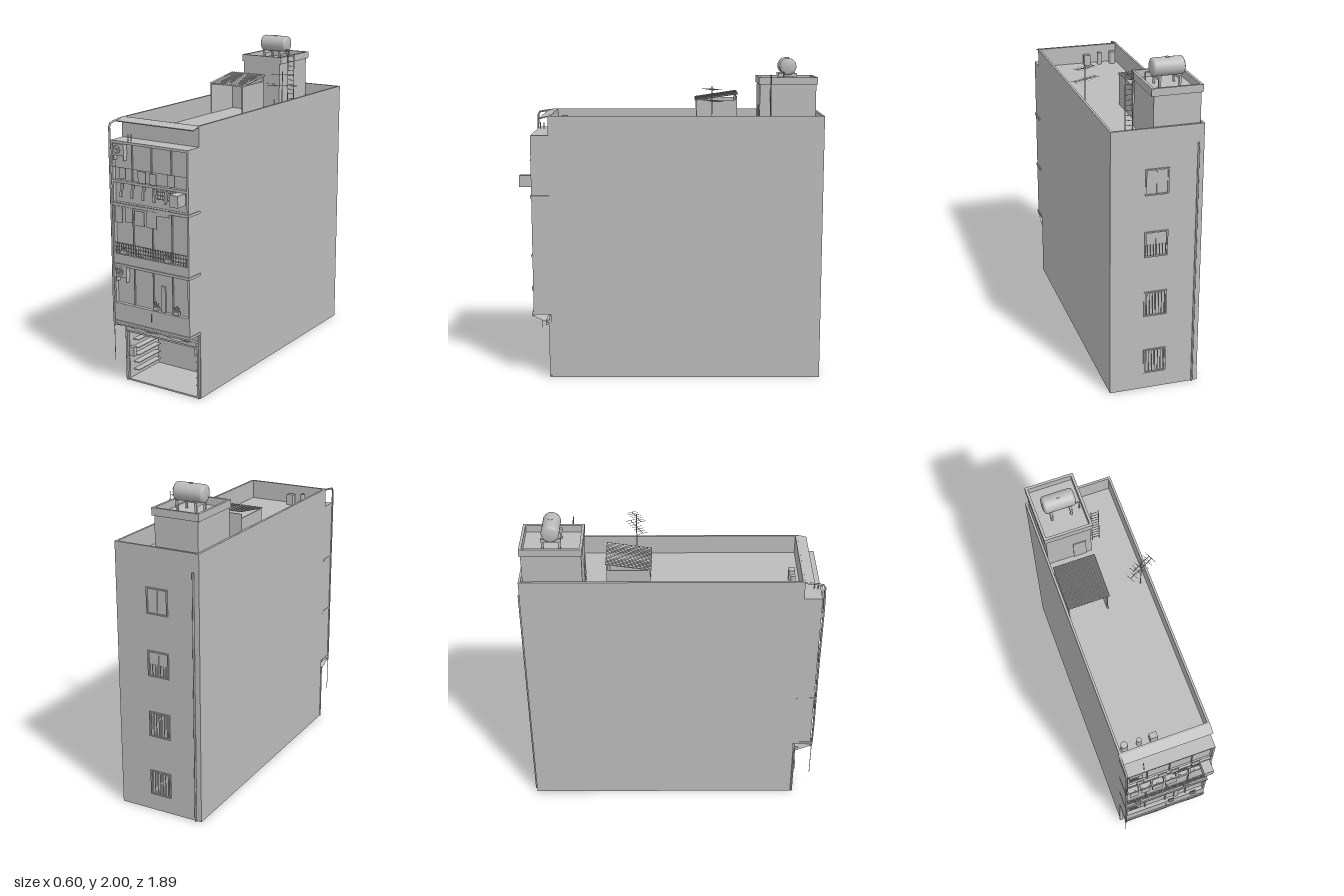
import * as THREE from 'three';

const concrete = new THREE.MeshStandardMaterial({ color: 0xbcbcbc, side: THREE.DoubleSide });
concrete.name = 'grey concrete';

export function createModel() {
  const model = new THREE.Group();
  model.name = 'building';

  const add = (name, geo, parent = model) => {
    const m = new THREE.Mesh(geo, concrete);
    m.name = name;
    parent.add(m);
    return m;
  };
  // box given by its low and high limits on each axis
  const box = (name, x0, x1, y0, y1, z0, z1, parent) => {
    const m = add(name, new THREE.BoxGeometry(x1 - x0, y1 - y0, z1 - z0), parent);
    m.position.set((x0 + x1) / 2, (y0 + y1) / 2, (z0 + z1) / 2);
    return m;
  };
  const rod = (name, a, b, r = 0.003, parent) => {
    const p = new THREE.Vector3(...a), q = new THREE.Vector3(...b), d = q.clone().sub(p);
    const m = add(name, new THREE.CylinderGeometry(r, r, d.length(), 8), parent);
    m.position.copy(p).add(q).multiplyScalar(0.5);
    m.quaternion.setFromUnitVectors(new THREE.Vector3(0, 1, 0), d.normalize());
    return m;
  };
  const group = (name, x = 0, y = 0, z = 0) => {
    const g = new THREE.Group();
    g.name = name;
    g.position.set(x, y, z);
    model.add(g);
    return g;
  };
  // four walls around an open rectangle
  const ring = (name, x0, x1, y0, y1, z0, z1, t) => {
    const g = group(name);
    box('wall', x0, x0 + t, y0, y1, z0, z1, g);
    box('wall', x1 - t, x1, y0, y1, z0, z1, g);
    box('wall', x0 + t, x1 - t, y0, y1, z0, z0 + t, g);
    box('wall', x0 + t, x1 - t, y0, y1, z1 - t, z1, g);
  };

  const L = -0.3, R = 0.25, B = -0.93, F = 0.765, BAY = 0.875;

  // main block with the shop hollowed out at the front
  box('mainBlock', L, R, 0, 1.54, B, 0.47);
  box('upperFrontBlock', L, R, 0.32, 1.54, 0.47, F);
  box('shopSideWall', L, L + 0.018, 0, 0.32, 0.47, F);
  box('shopSideWall', R - 0.018, R, 0, 0.32, 0.47, F);
  box('shopFloor', L, R, 0, 0.01, 0.47, F + 0.01);
  ring('parapet', L, R, 1.54, 1.66, B, F, 0.014);

  // shop fittings
  for (let i = 0; i < 5; i++) {
    const y = 0.055 + i * 0.05;
    box('shelf', L + 0.018, L + 0.06, y, y + 0.005, 0.5, 0.73);
    box('shelf', R - 0.06, R - 0.018, y, y + 0.005, 0.5, 0.73);
  }
  box('shopCabinet', 0.09, 0.18, 0.18, 0.32, 0.5, 0.6);
  box('meterBox', -0.27, -0.23, 0.17, 0.23, F, 0.79);
  box('shopSign', -0.29, 0.24, 0.32, 0.4, F, F + 0.012);
  for (const x of [L + 0.006, R - 0.012]) box('doorJamb', x - 0.006, x + 0.006, 0, 0.36, F, 0.78);
  box('shutterBox', -0.28, 0.24, 0.34, 0.37, F, 0.8);

  // projecting upper bay
  box('bayWall', L, R, 0.42, 1.54, F, 0.852);
  for (const [a, b] of [[L, L + 0.012], [R - 0.012, R]]) box('bayPier', a, b, 0.42, 1.54, 0.852, BAY);
  const bands = [[0.42, 0.54], [0.775, 0.85], [1.15, 1.17], [1.29, 1.305], [1.525, 1.54]];
  for (const [a, b] of bands) box('bayBand', L, R, a, b, 0.852, BAY);
  for (const y of [0.42, 0.785, 1.16]) box('floorLedge', L - 0.003, R + 0.005, y - 0.008, y + 0.008, F, 0.882);
  for (const x of [-0.16, -0.02, 0.12])
    for (const [y0, y1] of [[0.54, 0.775], [0.85, 1.15], [1.305, 1.525]])
      box('windowMullion', x - 0.003, x + 0.003, y0, y1, 0.852, 0.86);
  box('balconyDoor', 0.04, 0.068, 0.54, 0.7, 0.852, 0.862);

  // wavy awning under the bay
  const awning = new THREE.PlaneGeometry(R - L, 1, 32, 2);
  const ap = awning.attributes.position;
  for (let i = 0; i < ap.count; i++) {
    const x = ap.getX(i), t = ap.getY(i) + 0.5;
    ap.setXYZ(i, x + (L + R) / 2, 0.35 + t * 0.05 + t * 0.008 * Math.sin(x * 24), 0.77 + t * 0.115);
  }
  awning.computeVertexNormals();
  add('awning', awning);
  box('awningRail', L, R, 0.405, 0.414, 0.872, 0.885);
  rod('awningHook', [-0.02, 0.47, 0.885], [-0.02, 0.52, 0.885], 0.003);

  // eave along the top of the facade
  const eave = box('eave', L, R, -0.003, 0.003, -0.03, 0.03);
  eave.position.set((L + R) / 2, 1.65, 0.792);
  eave.rotation.x = 0.25;

  // railings
  const railing = (x0, x1, y0, y1, z) => {
    const g = group('railing');
    for (let i = 0; i <= 3; i++) {
      const y = y0 + (y1 - y0) * i / 3;
      box('rail', x0, x1, y - 0.0015, y + 0.0015, z - 0.002, z + 0.002, g);
    }
    const n = Math.round((x1 - x0) / 0.018);
    for (let i = 0; i <= n; i++) {
      const x = x0 + (x1 - x0) * i / n;
      box('baluster', x - 0.0012, x + 0.0012, y0, y1, z - 0.0015, z + 0.0015, g);
    }
  };
  railing(-0.295, 0.245, 0.85, 0.92, 0.873);
  railing(0.0, 0.245, 1.23, 1.295, 0.873);

  // air conditioners with round fan grilles
  for (const y of [1.49, 0.745]) {
    const g = group('airConditioner', -0.245, y, 0.87);
    box('case', -0.035, 0.045, -0.035, 0.035, -0.018, 0.014, g);
    add('fanRing', new THREE.TorusGeometry(0.024, 0.002, 6, 20), g).position.set(-0.005, 0, 0.016);
    for (let i = 0; i < 4; i++) {
      const a = i * Math.PI / 4, c = 0.024 * Math.cos(a), s = 0.024 * Math.sin(a);
      rod('fanSpoke', [-0.005 - c, -s, 0.015], [-0.005 + c, s, 0.015], 0.0015, g);
    }
    for (const x of [-0.03, 0.04]) box('bracket', x - 0.002, x + 0.002, -0.065, -0.03, -0.018, 0.012, g);
    rod('hose', [0.06, 0.09, -0.012], [0.06, 0.05, -0.012], 0.003, g);
  }

  // clothes on drying lines
  const cloths = [
    [-0.275, -0.22, 1.05, 1.15], [-0.2, -0.145, 1.06, 1.15], [-0.13, -0.06, 1.05, 1.14],
    [-0.045, 0.03, 1.05, 1.15], [0.03, 0.12, 1.13, 1.17], [-0.235, -0.19, 1.32, 1.385],
    [-0.1, -0.045, 1.31, 1.38], [-0.02, 0.03, 1.31, 1.375], [0.11, 0.16, 1.315, 1.385],
  ];
  for (const [a, b, c, d] of cloths) box('cloth', a, b, c, d, 0.878, 0.883);
  for (let i = 0; i < 5; i++) {
    const x = -0.22 + i * 0.08;
    box('hangingCloth', x - 0.007, x + 0.007, 1.21, 1.29, 0.878, 0.892).rotation.x = -0.12;
  }
  for (const y of [1.15, 1.385]) rod('dryingLine', [-0.29, y, 0.88], [0.24, y, 0.88], 0.0015);

  // planters and pots
  box('balconyUnit', 0.17, 0.23, 1.22, 1.29, BAY, 0.95);
  const pots = [[-0.22, 0.86], [0.1, 0.86], [0.015, 0.55], [0.165, 0.55]];
  for (const [x, y] of pots) {
    const g = group('planter', x, y, 0.88);
    box('pot', -0.018, 0.018, 0, 0.022, -0.01, 0.01, g);
    for (let i = -1; i <= 1; i++) rod('stem', [i * 0.008, 0.02, 0], [i * 0.016, 0.055 - 0.008 * Math.abs(i), 0], 0.004, g);
  }

  // drain pipes
  const drain = new THREE.CatmullRomCurve3([[1.655, 0.76], [1.645, 0.84], [1.635, 0.878], [1.58, 0.884],
    [1.0, 0.884], [0.42, 0.884], [0.39, 0.88]].map(([y, z]) => new THREE.Vector3(L, y, z)), false, 'centripetal');
  add('frontDrainPipe', new THREE.TubeGeometry(drain, 60, 0.006, 8));
  rod('hangingCable', [L, 0.4, 0.884], [L, 0.17, 0.884], 0.002);
  rod('lowerDrainPipe', [L, 0, 0.772], [L, 0.37, 0.772], 0.006);
  rod('roofSpout', [-0.18, 1.54, 0.835], [-0.18, 1.58, 0.835], 0.003);
  rod('backDrainPipe', [-0.265, 0, -0.937], [-0.265, 1.55, -0.937], 0.006);

  // back windows
  for (let i = 0; i < 4; i++) {
    const g = group('backWindow', -0.025, 0.185 + i * 0.385, B);
    for (const s of [-1, 1]) {
      box('frameSide', s * 0.066 - 0.004, s * 0.066 + 0.004, -0.08, 0.08, -0.007, 0, g);
      box('frameEnd', -0.07, 0.07, s * 0.076 - 0.004, s * 0.076 + 0.004, -0.007, 0, g);
    }
    box('mullion', -0.003, 0.003, -0.076, 0.076, -0.005, 0, g);
    if (i < 3) {
      const top = i === 2 ? 0 : 0.07;
      for (let k = -3; k <= 3; k++) box('bar', k * 0.018 - 0.002, k * 0.018 + 0.002, -0.072, top, -0.009, -0.005, g);
    }
  }

  // stair tower with a rimmed roof
  box('stairTower', -0.283, -0.005, 1.54, 1.835, -0.905, -0.55);
  ring('towerRim', -0.292, 0.01, 1.835, 1.88, -0.912, -0.543, 0.016);
  box('towerDoor', -0.12, -0.04, 1.54, 1.7, -0.55, -0.545);

  // water tank
  const tank = group('waterTank', -0.14, 1.945, -0.73);
  const pts = [[0, -0.1], [0.035, -0.098], [0.05, -0.09], [0.053, -0.08], [0.053, 0.08], [0.05, 0.09], [0.035, 0.098], [0, 0.1]];
  add('drum', new THREE.LatheGeometry(pts.map(p => new THREE.Vector2(...p)), 32), tank).rotation.z = Math.PI / 2;
  add('hatch', new THREE.CylinderGeometry(0.012, 0.012, 0.008, 16), tank).position.y = 0.051;
  for (const x of [-0.06, 0.06]) {
    box('cradle', x - 0.008, x + 0.008, -0.065, -0.042, -0.06, 0.06, tank);
    for (const z of [-0.05, 0.05]) box('leg', x - 0.006, x + 0.006, -0.11, -0.05, z - 0.006, z + 0.006, tank);
  }
  rod('outletPipe', [0.095, -0.035, 0.03], [0.118, -0.035, 0.03], 0.004, tank);
  rod('outletPipe', [0.118, -0.035, 0.03], [0.118, -0.11, 0.03], 0.004, tank);

  // ladder
  for (const x of [0.022, 0.068]) rod('ladderRail', [x, 1.54, -0.615], [x, 1.9, -0.615], 0.0025);
  for (let i = 0; i < 11; i++) rod('ladderRung', [0.022, 1.57 + i * 0.031, -0.615], [0.068, 1.57 + i * 0.031, -0.615], 0.002);

  // rooftop shed with a corrugated roof
  box('shedSideWall', -0.047, -0.04, 1.54, 1.735, -0.4, -0.15);
  box('shedSideWall', -0.286, -0.279, 1.54, 1.735, -0.4, -0.15);
  box('shedBackWall', -0.286, -0.04, 1.54, 1.76, -0.407, -0.4);
  const roof = new THREE.PlaneGeometry(0.26, 0.27, 104, 1);
  roof.rotateX(-Math.PI / 2);
  const rp = roof.attributes.position;
  for (let i = 0; i < rp.count; i++)
    rp.setY(i, 0.006 * Math.sin((rp.getX(i) + 0.13) / 0.26 * Math.PI * 2 * 17) - rp.getZ(i) * 0.15);
  roof.computeVertexNormals();
  add('shedRoof', roof).position.set(-0.16, 1.757, -0.277);

  // antenna
  const mast = group('antenna', 0.2, 0, -0.24);
  rod('mast', [0, 1.54, 0], [0, 1.84, 0], 0.003, mast);
  for (const [y, half] of [[1.82, 0.06], [1.75, 0.08]]) {
    rod('boom', [-half, y, half * 0.5], [half, y, -half * 0.5], 0.002, mast);
    for (let i = -3; i <= 3; i++) {
      const x = half * i / 3, z = -x * 0.5;
      rod('element', [x - 0.014, y, z - 0.028], [x + 0.014, y, z + 0.028], 0.0012, mast);
    }
  }

  // roof vents behind the front parapet
  for (const [x, r, h] of [[-0.25, 0.021, 0.08], [-0.16, 0.015, 0.08]])
    add('roofVent', new THREE.CylinderGeometry(r, r, h, 20)).position.set(x, 1.54 + h / 2, 0.705);
  box('roofVentBox', -0.095, -0.05, 1.54, 1.61, 0.687, 0.722);

  return model;
}
